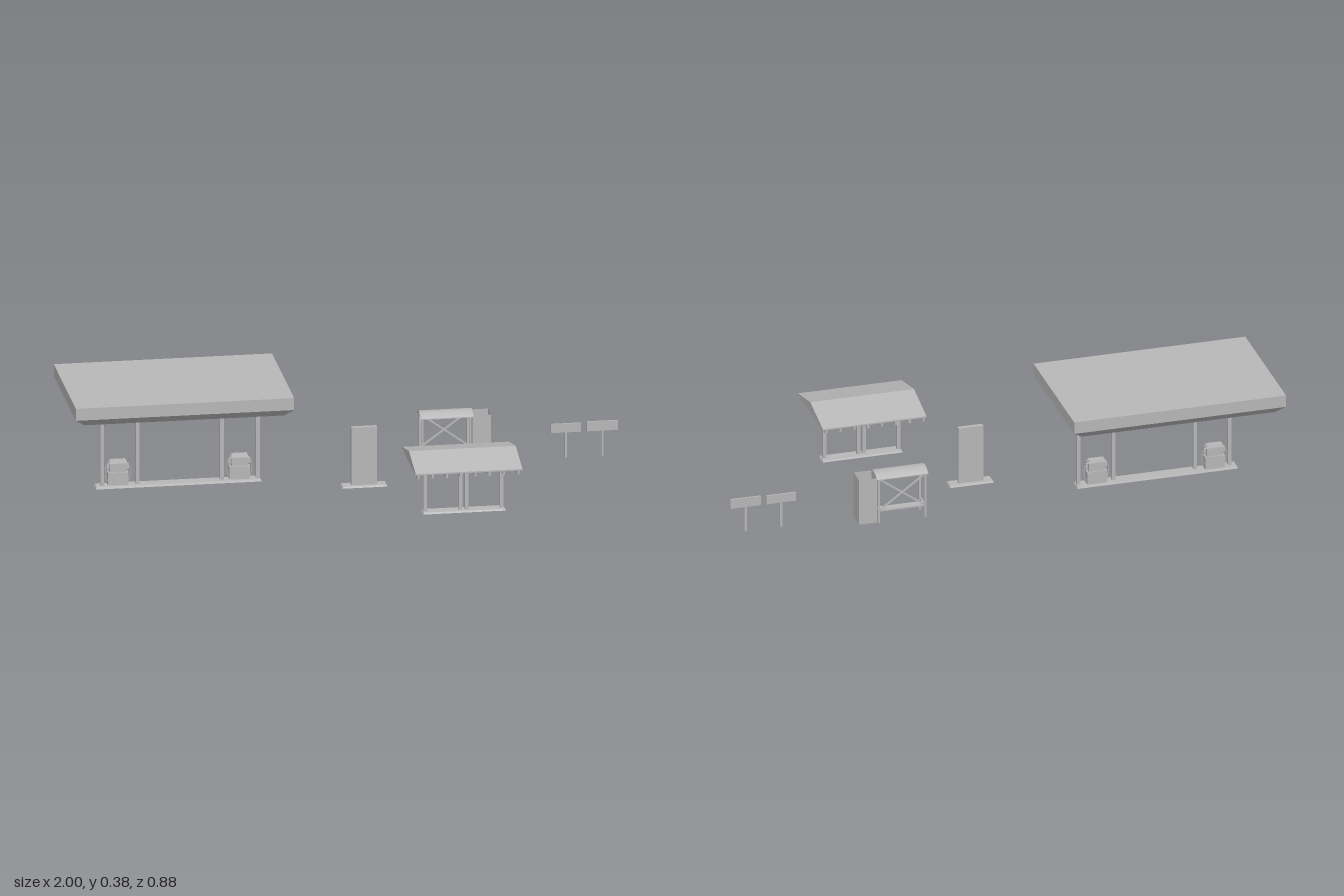
import * as THREE from 'three';

const grey = new THREE.MeshStandardMaterial({ color: 0xb8b8b8, side: THREE.DoubleSide });
grey.name = 'concrete grey';

export function createModel() {
  const root = new THREE.Group();
  root.name = 'forecourt';

  const group = (name) => {
    const g = new THREE.Group();
    g.name = name;
    root.add(g);
    return g;
  };
  const add = (parent, name, geo) => {
    const m = new THREE.Mesh(geo, grey);
    m.name = name;
    parent.add(m);
    return m;
  };
  // Box given by its lower and upper limits on each axis
  const box = (parent, name, x0, x1, y0, y1, z0, z1) => {
    const m = add(parent, name, new THREE.BoxGeometry(x1 - x0, y1 - y0, z1 - z0));
    m.position.set((x0 + x1) / 2, (y0 + y1) / 2, (z0 + z1) / 2);
    return m;
  };
  // Box whose upper or lower face is drawn in
  const tapered = (parent, name, x0, x1, y0, y1, z0, z1, insetX, insetZ, drawTop) => {
    const m = box(parent, name, x0, x1, y0, y1, z0, z1);
    const p = m.geometry.attributes.position;
    for (let i = 0; i < p.count; i++) {
      if ((p.getY(i) > 0) !== drawTop) continue;
      p.setX(i, p.getX(i) - Math.sign(p.getX(i)) * insetX);
      p.setZ(i, p.getZ(i) - Math.sign(p.getZ(i)) * insetZ);
    }
    m.geometry.computeVertexNormals();
    return m;
  };
  const post = (parent, name, x, z, y0, y1, w) =>
    box(parent, name, x - w / 2, x + w / 2, y0, y1, z - w / 2, z + w / 2);
  // Closed outline in (z, y), extruded along x
  const profileX = (parent, name, points, x0, x1) => {
    const shape = new THREE.Shape(points.map(([z, y]) => new THREE.Vector2(-z, y)));
    const geo = new THREE.ExtrudeGeometry(shape, { depth: x1 - x0, bevelEnabled: false });
    geo.rotateY(Math.PI / 2);
    geo.translate(x0, 0, 0);
    return add(parent, name, geo);
  };

  // Large fuel canopy
  const canopy = group('fuelCanopy');
  box(canopy, 'canopyFascia', -1, -0.213, 0.338, 0.383, -0.441, 0.068);
  tapered(canopy, 'canopySoffit', -1, -0.213, 0.312, 0.338, -0.441, 0.068, 0.034, 0.023, false);
  for (const x of [-0.868, -0.74, -0.436, -0.306]) {
    post(canopy, 'canopyColumn', x, -0.176, 0.008, 0.314, 0.013);
  }
  tapered(canopy, 'pumpIsland', -0.893, -0.295, 0.001, 0.009, -0.203, -0.154, 0.003, 0.003, true);

  // Fuel pumps with hoses on both sides
  for (const x of [-0.81, -0.372]) {
    const pump = group('fuelPump');
    box(pump, 'pumpCabinet', x - 0.037, x + 0.037, 0.009, 0.056, -0.195, -0.167);
    box(pump, 'pumpDisplay', x - 0.03, x + 0.03, 0.056, 0.092, -0.191, -0.171);
    tapered(pump, 'pumpHood', x - 0.034, x + 0.034, 0.09, 0.101, -0.195, -0.167, 0.006, 0.003, true);
    for (const s of [-1, 1]) {
      box(pump, 'nozzle', x + s * 0.035 - 0.004, x + s * 0.035 + 0.004, 0.066, 0.086, -0.184, -0.176);
      const path = new THREE.CatmullRomCurve3([
        [0.03, 0.084], [0.042, 0.074], [0.045, 0.045], [0.041, 0.026], [0.036, 0.022],
      ].map(([dx, y]) => new THREE.Vector3(x + s * dx, y, -0.18)));
      add(pump, 'hose', new THREE.TubeGeometry(path, 12, 0.002, 6));
    }
  }

  // Upright price panel
  const pylon = group('pricePylon');
  tapered(pylon, 'pylonBase', -0.025, 0.138, 0.003, 0.009, -0.071, -0.022, 0.003, 0.003, true);
  box(pylon, 'pylonPanel', 0.01, 0.102, 0.009, 0.225, -0.054, -0.038);

  // Gabled shelter on a row of columns
  const shelter = group('gabledShelter');
  profileX(shelter, 'shelterRoof',
    [[0.44, 0.195], [0.44, 0.2], [0.285, 0.236], [0.128, 0.2], [0.128, 0.195], [0.285, 0.229]],
    0.167, 0.552);
  for (let i = 0; i < 8; i++) {
    const x = 0.177 + i * 0.0515;
    profileX(shelter, 'roofRib',
      [[0.438, 0.18], [0.438, 0.197], [0.285, 0.231], [0.13, 0.197], [0.13, 0.18]],
      x - 0.004, x + 0.004);
  }
  box(shelter, 'ridgeBeam', 0.177, 0.542, 0.181, 0.194, 0.281, 0.293);
  for (const x of [0.225, 0.352, 0.374, 0.5]) {
    post(shelter, 'shelterColumn', x, 0.287, 0.008, 0.19, 0.013);
  }
  tapered(shelter, 'shelterBase', 0.215, 0.513, 0.003, 0.009, 0.261, 0.31, 0.003, 0.003, true);

  // Small stop with an arched roof, braced frame and bench
  const stop = group('archedStop');
  const outer = [], inner = [];
  for (let i = 0; i <= 10; i++) {
    const t = i / 10, rise = 0.016 * (1 - (2 * t - 1) ** 2);
    outer.push([-0.212 - 0.087 * t, 0.185 + rise]);
    inner.unshift([-0.212 - 0.087 * t, 0.182 + rise]);
  }
  profileX(stop, 'archedRoof', [...outer, ...inner], 0.287, 0.478);
  for (const x of [0.295, 0.468]) {
    for (const z of [-0.22, -0.285]) post(stop, 'framePost', x, z, 0.01, 0.188, 0.007);
    box(stop, 'frameSideRail', x - 0.003, x + 0.003, 0.053, 0.059, -0.285, -0.22);
    box(stop, 'roofTie', x - 0.003, x + 0.003, 0.18, 0.186, -0.29, -0.216);
  }
  for (const z of [-0.22, -0.285]) {
    box(stop, 'roofRail', 0.292, 0.471, 0.18, 0.186, z - 0.003, z + 0.003);
  }
  box(stop, 'backRail', 0.292, 0.471, 0.053, 0.059, -0.288, -0.282);
  box(stop, 'benchSeat', 0.298, 0.466, 0.053, 0.058, -0.284, -0.254);
  const braceAngle = Math.atan2(0.125, 0.173), braceLength = Math.hypot(0.125, 0.173);
  for (const s of [-1, 1]) {
    const brace = add(stop, 'crossBrace', new THREE.BoxGeometry(braceLength, 0.006, 0.004));
    brace.position.set(0.3815, 0.1185, -0.285 + s * 0.002);
    brace.rotation.z = s * braceAngle;
  }

  // Side cabinet of the stop: four walls, open above and below
  const cabinet = new THREE.CylinderGeometry(Math.SQRT1_2, Math.SQRT1_2, 1, 4, 1, true)
    .rotateY(Math.PI / 4).toNonIndexed();
  cabinet.scale(0.066, 0.175, 0.068);
  cabinet.computeVertexNormals();
  add(stop, 'openCabinet', cabinet).position.set(0.508, 0.1, -0.254);

  // Two low direction signs
  for (const [x0, x1, y1] of [[0.757, 0.866, 0.14], [0.887, 1, 0.143]]) {
    const sign = group('directionSign');
    box(sign, 'signPanel', x0, x1, 0.107, y1, -0.223, -0.217);
    const x = (x0 + x1) / 2;
    box(sign, 'signPost', x - 0.004, x + 0.004, 0.012, 0.109, -0.224, -0.217);
  }
  return root;
}
